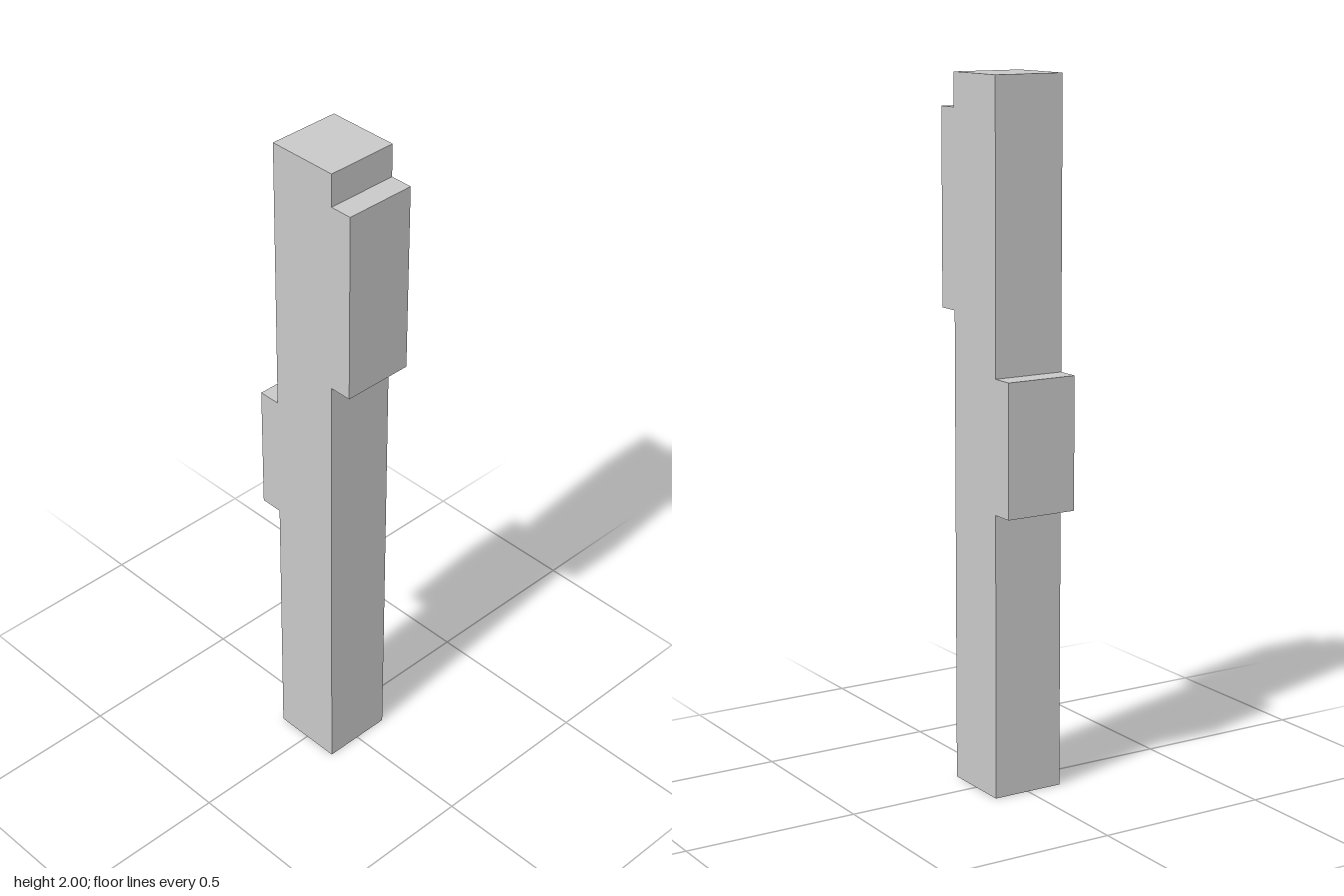
import * as THREE from 'three';

const HALF = 0.106;   // half width of the square post
const PAD = 0.172;    // reach of the raised pads from the centre
const HEIGHT = 2;
const FRONT_PAD = { bottom: 1.35, top: 1.905 };
const BACK_PAD = { bottom: 0.813, top: 1.19 };

export function createModel() {
  const group = new THREE.Group();
  group.name = 'notchedPost';

  const grey = new THREE.MeshStandardMaterial({ color: 0xc8c8c8 });
  grey.name = 'lightGrey';

  // Side profile as (z, y): up the back with its pad, down the front with its pad
  const profile = new THREE.Shape([
    [-HALF, 0], [HALF, 0],
    [HALF, FRONT_PAD.bottom], [PAD, FRONT_PAD.bottom],
    [PAD, FRONT_PAD.top], [HALF, FRONT_PAD.top],
    [HALF, HEIGHT], [-HALF, HEIGHT],
    [-HALF, BACK_PAD.top], [-PAD, BACK_PAD.top],
    [-PAD, BACK_PAD.bottom], [-HALF, BACK_PAD.bottom],
  ].map(([z, y]) => new THREE.Vector2(z, y)));

  // Post and both pads are one solid, extruded across the width
  const geometry = new THREE.ExtrudeGeometry(profile, { depth: 2 * HALF, bevelEnabled: false });
  geometry.translate(0, 0, -HALF);
  geometry.rotateY(-Math.PI / 2);

  const post = new THREE.Mesh(geometry, grey);
  post.name = 'postWithPads';
  group.add(post);
  return group;
}
